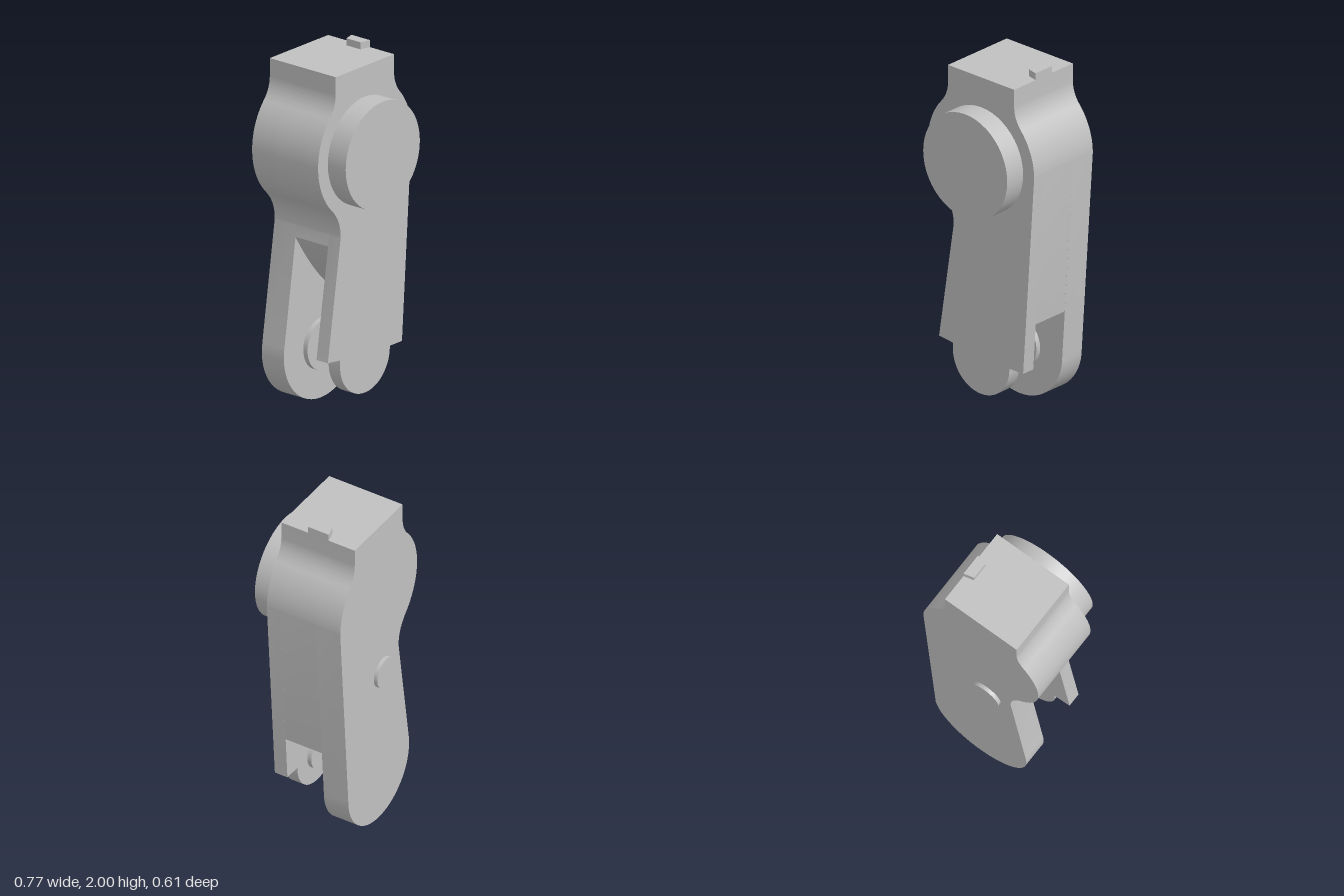
import * as THREE from 'three';
import { toCreasedNormals } from 'three/addons/utils/BufferGeometryUtils.js';

const PIVOT_Y = 0.305;   // lower hinge axis
const HEAD_Y = 1.48;     // centre of the round upper joint
const HEAD_R = 0.385;

// Side profile of the limb; drawLower supplies the lower end from the -x edge round to the +x edge.
function limbShape(drawLower) {
  const s = new THREE.Shape();
  const a = THREE.MathUtils.degToRad(139);
  const b = THREE.MathUtils.degToRad(225.5);
  s.moveTo(-0.24, 1.96);
  s.lineTo(-0.24, 1.86);
  s.quadraticCurveTo(-0.24, 1.79, HEAD_R * Math.cos(a), HEAD_Y + HEAD_R * Math.sin(a));
  s.absarc(0, HEAD_Y, HEAD_R, a, b, false);
  s.quadraticCurveTo(-0.195, 1.13, -0.2, 1.03);
  drawLower(s);
  s.lineTo(HEAD_R, HEAD_Y);
  s.absarc(0, HEAD_Y, HEAD_R, 0, Math.PI - a, false);
  s.quadraticCurveTo(0.24, 1.79, 0.24, 1.86);
  s.lineTo(0.24, 1.96);
  s.closePath();
  return s;
}

export function createModel() {
  const model = new THREE.Group();
  model.name = 'limbSegment';
  const grey = new THREE.MeshStandardMaterial({ color: 0xc0c0c0 });
  grey.name = 'light grey plastic';

  const add = (name, geometry) => {
    const mesh = new THREE.Mesh(geometry, grey);
    mesh.name = name;
    model.add(mesh);
    return mesh;
  };

  // Flat slab between two depths
  const slab = (name, shape, z0, z1) => {
    const g = new THREE.ExtrudeGeometry(shape, { depth: z1 - z0, bevelEnabled: false, curveSegments: 18 });
    g.translate(0, 0, z0);
    return add(name, toCreasedNormals(g, 0.5));
  };

  // Round boss with its axis along z
  const disc = (name, x, y, r, z0, z1) => {
    const mesh = add(name, new THREE.CylinderGeometry(r, r, z1 - z0, 48));
    mesh.rotation.x = Math.PI / 2;
    mesh.position.set(x, y, (z0 + z1) / 2);
  };

  // Back cheek: full length with a rounded end
  slab('backCheek', limbShape((s) => {
    s.lineTo(-0.302, 0.35);
    s.absarc(0, PIVOT_Y, 0.305, Math.PI - 0.15, Math.PI * 2, false);
  }), -0.285, -0.13);

  // Middle core: ends above the hinge slot, which rises higher towards -x
  slab('core', limbShape((s) => {
    s.lineTo(-0.209, 0.97);
    s.quadraticCurveTo(-0.06, 0.72, 0.12, 0.58);
    s.lineTo(0.323, 0.58);
  }), -0.13, 0.1);

  // Front cheek: stepped in to a smaller rounded end
  slab('frontCheek', limbShape((s) => {
    s.lineTo(-0.305, 0.35);
    s.lineTo(-0.203, 0.338);
    s.absarc(0, PIVOT_Y, 0.205, Math.PI, Math.PI * 2, false);
    s.lineTo(0.205, 0.31);
    s.lineTo(0.305, 0.31);
  }), 0.1, 0.18);

  // Round caps and hinge bosses
  disc('jointCap', 0, HEAD_Y, 0.305, 0.18, 0.306);
  disc('backButton', -0.042, 0.96, 0.09, -0.307, -0.285);
  disc('frontHingeBoss', 0, PIVOT_Y, 0.105, 0.075, 0.1);
  disc('backHingeBoss', 0, PIVOT_Y + 0.005, 0.145, -0.13, -0.1);

  // Tapered locating tab on the top face
  const tab = new THREE.Shape([
    new THREE.Vector2(0.18, 0.005), new THREE.Vector2(0.24, -0.01),
    new THREE.Vector2(0.24, 0.12), new THREE.Vector2(0.18, 0.105),
  ]);
  const tabGeometry = new THREE.ExtrudeGeometry(tab, { depth: 0.04, bevelEnabled: false });
  tabGeometry.rotateX(-Math.PI / 2);
  tabGeometry.translate(0, 1.96, 0);
  add('topTab', tabGeometry);

  return model;
}
